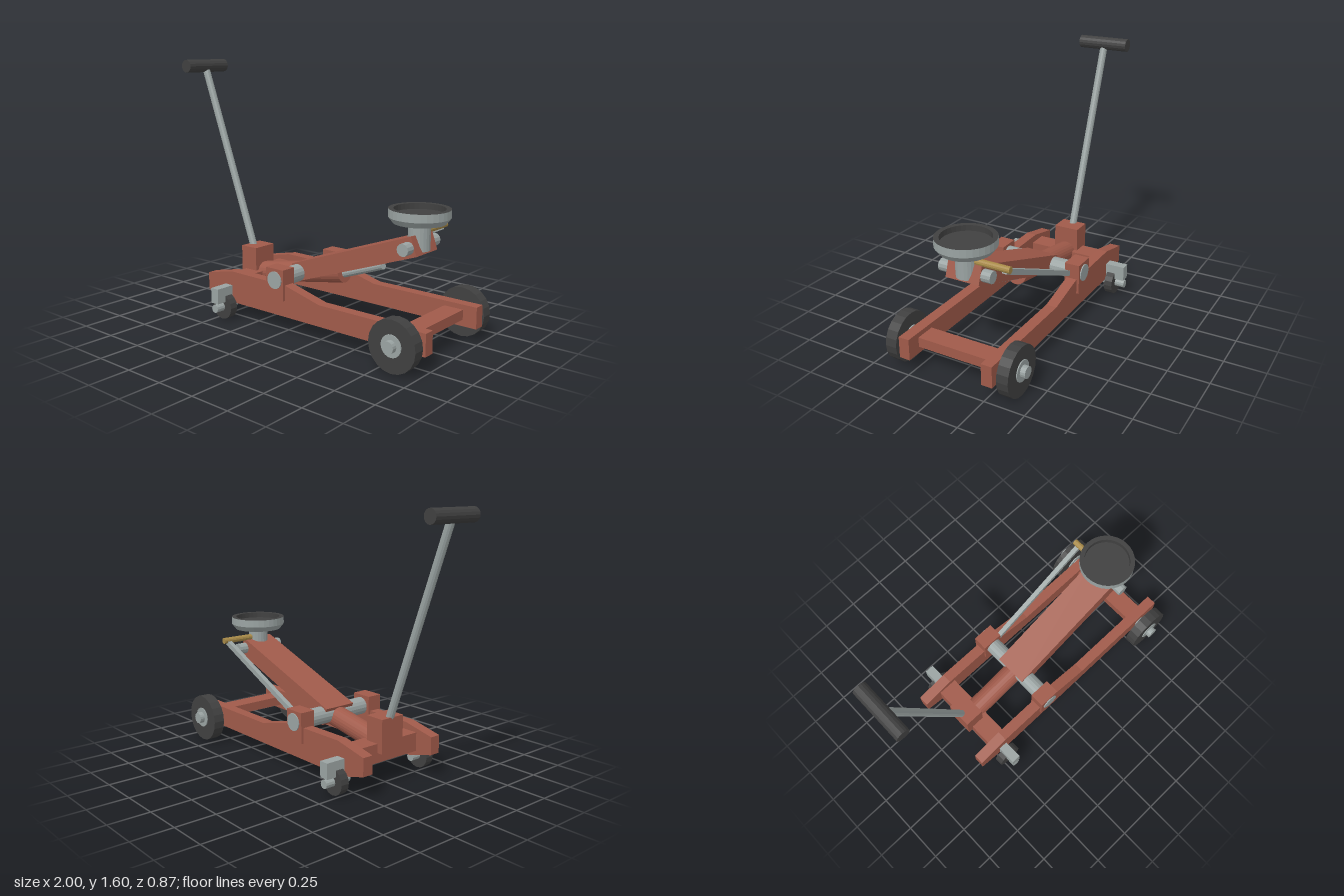
import * as THREE from 'three';

export function createModel() {
  const jack = new THREE.Group();
  jack.name = 'floorJack';

  const paint = (name, color) => {
    const m = new THREE.MeshStandardMaterial({ color });
    m.name = name;
    return m;
  };
  const red = paint('redPaint', 0xa05a4a);
  const steel = paint('steel', 0x9aa3a2);
  const rubber = paint('blackRubber', 0x404040);
  const brass = paint('brass', 0xa88a48);

  // Adds a faceted mesh
  const add = (name, geometry, material, x = 0, y = 0, z = 0) => {
    const g = geometry.index ? geometry.toNonIndexed() : geometry;
    g.computeVertexNormals();
    const mesh = new THREE.Mesh(g, material);
    mesh.name = name;
    mesh.position.set(x, y, z);
    jack.add(mesh);
    return mesh;
  };
  // Box given by its limits
  const box = (name, m, x0, x1, y0, y1, z0, z1) =>
    add(name, new THREE.BoxGeometry(x1 - x0, y1 - y0, z1 - z0), m,
      (x0 + x1) / 2, (y0 + y1) / 2, (z0 + z1) / 2);
  // Round bar between two points
  const bar = (name, m, r, a, b, sides = 16) => {
    const p = new THREE.Vector3(...a), q = new THREE.Vector3(...b);
    const d = q.clone().sub(p);
    const mesh = add(name, new THREE.CylinderGeometry(r, r, d.length(), sides), m);
    mesh.position.copy(p).add(q).multiplyScalar(0.5);
    mesh.quaternion.setFromUnitVectors(new THREE.Vector3(0, 1, 0), d.normalize());
    return mesh;
  };
  // Round bar lying along z
  const pin = (name, m, r, x, y, z0, z1, sides) =>
    bar(name, m, r, [x, y, z0], [x, y, z1], sides);
  // Rectangular beam in a plane of constant z
  const beam = (name, m, a, b, h, w, z) => {
    const dx = b[0] - a[0], dy = b[1] - a[1];
    const mesh = add(name, new THREE.BoxGeometry(Math.hypot(dx, dy), h, w), m,
      (a[0] + b[0]) / 2, (a[1] + b[1]) / 2, z);
    mesh.rotation.z = Math.atan2(dy, dx);
    return mesh;
  };

  // Side rails, pivot brackets, wheels and casters
  const rail = new THREE.Shape([
    [-0.64, 0.145], [-0.47, 0.1], [1, 0.1], [1, 0.23],
    [0.28, 0.23], [0.02, 0.295], [-0.43, 0.3], [-0.64, 0.255],
  ].map(([x, y]) => new THREE.Vector2(x, y)));
  for (const s of [1, -1]) {
    const side = s > 0 ? 'Front' : 'Back';
    const railGeo = new THREE.ExtrudeGeometry(rail, { depth: 0.068, bevelEnabled: false });
    add('rail' + side, railGeo, red, 0, 0, s * 0.27 - 0.034);
    const zBox = (name, m, x0, x1, y0, y1, a, b) =>
      box(name + side, m, x0, x1, y0, y1, Math.min(s * a, s * b), Math.max(s * a, s * b));

    zBox('pivotBracket', red, -0.12, 0.018, 0.2, 0.39, 0.222, 0.32);
    pin('wheel' + side, rubber, 0.15, 0.85, 0.15, s * 0.328, s * 0.4, 20);
    pin('wheelHub' + side, steel, 0.064, 0.85, 0.155, s * 0.32, s * 0.406, 20);
    zBox('casterFork', steel, -0.486, -0.426, 0.115, 0.21, 0.304, 0.43);
    pin('casterWheel' + side, rubber, 0.08, -0.456, 0.08, s * 0.315, s * 0.368, 16);
    pin('casterAxle' + side, steel, 0.026, -0.456, 0.08, s * 0.255, s * 0.43, 12);
  }

  // Frame cross members and axle
  box('frontCrossMember', red, 0.788, 0.912, 0.14, 0.2, -0.24, 0.24);
  box('rearCrossMember', red, -0.52, -0.392, 0.14, 0.255, -0.24, 0.24);
  pin('frontAxle', steel, 0.036, 0.85, 0.155, -0.437, 0.437, 16);

  // Lifting arm and its pivot
  pin('pivotShaft', steel, 0.054, -0.048, 0.32, -0.327, 0.327, 16);
  beam('liftArm', red, [-0.08, 0.314], [0.787, 0.62], 0.115, 0.216, 0);

  // Hydraulic ram
  bar('ramCylinder', red, 0.066, [-0.46, 0.23, 0], [0.23, 0.353, 0], 24);
  bar('ramRod', steel, 0.026, [0.15, 0.315, 0], [0.512, 0.445, 0], 12);

  // Handle
  box('handleSocket', red, -0.556, -0.43, 0.2, 0.405, -0.083, 0.083);
  bar('handleShaft', steel, 0.024, [-0.5, 0.31, 0], [-0.957, 1.558, 0], 12);
  pin('handleGrip', rubber, 0.042, -0.958, 1.56, -0.168, 0.168, 16);

  // Saddle on its post
  bar('saddlePost', steel, 0.064, [0.753, 0.578, 0], [0.753, 0.75, 0], 20);
  pin('saddlePin', steel, 0.037, 0.753, 0.607, -0.168, 0.168, 12);
  const lathe = (points) => new THREE.LatheGeometry(
    points.map(([r, y]) => new THREE.Vector2(r, y)), 32);
  add('saddleDish', lathe([[0, 0.733], [0.15, 0.733], [0.176, 0.767], [0.176, 0.814]]),
    steel, 0.753);
  add('saddlePad', lathe([[0.176, 0.814], [0.146, 0.814], [0.146, 0.78], [0, 0.78]]),
    rubber, 0.753);

  // Levelling link
  pin('linkPin', brass, 0.02, 0.753, 0.678, -0.278, -0.03, 12);
  beam('linkRod', steel, [-0.05, 0.295], [0.753, 0.665], 0.032, 0.03, -0.242);

  return jack;
}
